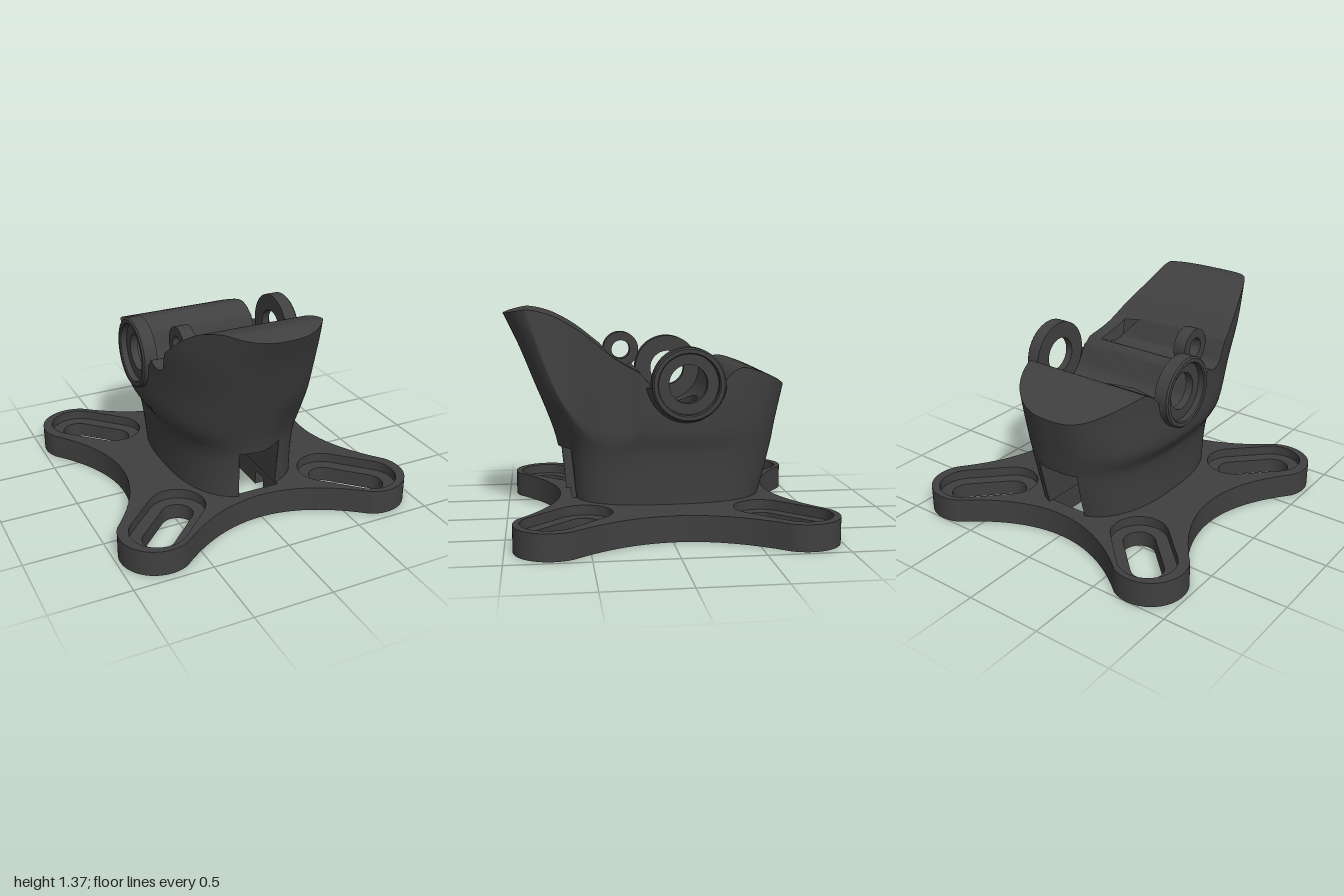
import * as THREE from 'three';
import { toCreasedNormals } from 'three/addons/utils/BufferGeometryUtils.js';

const N = 180, DOOR = 16, FLOOR = 0.16, LINTEL = 0.48;
// Smooth value from a table, column k
function lookUp(table, v, k) {
  let i = 0;
  const last = table.length - 1;
  while (i < last - 1 && v > table[i + 1][0]) i++;
  const slope = j => {
    const a = table[Math.max(j - 1, 0)], b = table[Math.min(j + 1, last)];
    return (b[k] - a[k]) / (b[0] - a[0]);
  };
  const a = table[i], b = table[i + 1], w = b[0] - a[0];
  const t = THREE.MathUtils.clamp((v - a[0]) / w, 0, 1), u = 1 - t;
  return a[k] * u * u * (1 + 2 * t) + b[k] * t * t * (3 - 2 * t) + w * t * u * (slope(i) * u - slope(i + 1) * t);
}

// Body plan by height: y, front z, back z, right x, left x
const levels = [
  [0.16, 0.63, -0.65, -0.40, 0.40], [0.35, 0.645, -0.70, -0.41, 0.405],
  [0.5, 0.667, -0.735, -0.435, 0.42], [0.63, 0.705, -0.76, -0.505, 0.45],
  [0.9, 0.81, -0.82, -0.52, 0.46], [1.15, 0.91, -0.88, -0.535, 0.45],
  [1.36, 1.01, -0.93, -0.51, 0.41],
];
// Height of the top along z
const ridge = [
  [-1, 0.76], [-0.81, 0.87], [-0.7, 0.94], [-0.55, 1.0], [-0.46, 1.015], [-0.4, 0.985], [-0.37, 0.955], [-0.34, 0.93],
  [0.11, 0.93], [0.145, 0.96], [0.16, 0.985], [0.31, 1.07], [0.5, 1.22], [0.6, 1.285], [0.7, 1.335], [0.84, 1.37],
  [0.92, 1.36], [1.0, 1.34], [1.2, 1.27],
];
// The left flank is trimmed in plan: z, largest x
const trim = [[0.05, 0.48], [0.15, 0.46], [0.22, 0.43], [0.3, 0.405], [0.41, 0.375],
  [0.51, 0.34], [0.6, 0.315], [0.7, 0.305], [0.8, 0.31], [1.1, 0.31]];

function topHeight(z, grooved) {
  const d = z + 0.115, g = z - 0.24;
  if (Math.abs(d) < 0.225) return 0.93 - Math.sqrt(0.050625 - d * d); // main saddle
  const h = lookUp(ridge, z, 1);
  return grooved && Math.abs(g) < 0.1 ? Math.min(h, 1.055 - Math.sqrt(0.01 - g * g)) : h; // small groove
}
// Point on the body wall: column i runs front to back, side is -1 or 1
function wallPoint(i, y, side) {
  const [f, b, l, r] = [1, 2, 3, 4].map(k => lookUp(levels, y, k));
  const t = Math.PI * i / N, c = Math.cos(t), s = Math.sin(t), p = 0.8;
  let z = (f + b) / 2 + (f - b) / 2 * Math.sign(c) * Math.pow(Math.abs(c), p);
  let x = (l + r) / 2 + side * (r - l) / 2 * Math.pow(Math.abs(s), p);
  if (side > 0 && z > 0.05) {
    x = Math.min(x, lookUp(trim, z, 1) - 0.08 * Math.max(0, y - 0.6));
    // the left front corner is set back near the floor
    z -= 0.06 * Math.min(1, s / 0.276) * c * c * (1 - THREE.MathUtils.smoothstep(y, 0.45, 0.9));
  }
  return [x, y, z];
}
// Height where each column meets the top, with and without the groove
const [groovedRim, plainRim] = [true, false].map(grooved => Array.from({ length: N + 1 }, (_, i) => {
  let lo = 0.3, hi = 1.5;
  for (let k = 0; k < 30; k++) {
    const m = (lo + hi) / 2;
    if (m < topHeight(wallPoint(i, m, -1)[2], grooved)) lo = m; else hi = m;
  }
  return lo;
}));

// Surface through rows of points
function grid(rows) {
  const n = rows[0].length, index = [];
  for (let i = 0; i < rows.length - 1; i++) {
    for (let j = 0; j < n - 1; j++) {
      const a = i * n + j, b = a + n;
      index.push(a, b, a + 1, b, b + 1, a + 1);
    }
  }
  const g = new THREE.BufferGeometry();
  g.setAttribute('position', new THREE.Float32BufferAttribute(rows.flat(2), 3));
  g.setIndex(index);
  g.computeVertexNormals();
  return g;
}
// Wall column from the lintel to the rim, or from the floor when full
function column(i, side, full) {
  const top = (side > 0 ? plainRim : groovedRim)[i], heights = [];
  if (full) for (let k = 0; k < 6; k++) heights.push(FLOOR + (LINTEL - FLOOR) * k / 6);
  for (let k = 0; k <= 16; k++) heights.push(LINTEL + (top - LINTEL) * k / 16);
  return heights.map(y => wallPoint(i, y, side));
}
const range = (a, b) => Array.from({ length: Math.abs(b - a) + 1 }, (_, k) => a + k * Math.sign(b - a));

// Closed slot outline
function slotPath(cx, cz, angle, half, r) {
  const p = new THREE.Path(), dx = Math.cos(angle) * half, dz = Math.sin(angle) * half;
  p.absarc(cx + dx, cz + dz, r, angle - Math.PI / 2, angle + Math.PI / 2);
  p.absarc(cx - dx, cz - dz, r, angle + Math.PI / 2, angle + Math.PI * 1.5);
  p.closePath();
  return p;
}
// One layer of the four-armed plate
function plateLayer(y0, y1, slotR, opening) {
  const s = new THREE.Shape(), cz = -0.025, reach = 0.41, q = Math.PI / 2, sweep = 1.309;
  const lobe = a => [0.745 * Math.sign(Math.cos(a)), cz + 0.745 * Math.sign(Math.sin(a))];
  for (let k = 0; k < 4; k++) {
    const a = q * k + q / 2, n = q * (k + 1), m = n + q / 2 - sweep;
    const [x, z] = lobe(a), [nx, nz] = lobe(a + q);
    s.absarc(x, z, 0.23, a - sweep, a + sweep);
    s.quadraticCurveTo(reach * Math.cos(n), cz + reach * Math.sin(n),
      nx + 0.23 * Math.cos(m), nz + 0.23 * Math.sin(m));
    s.holes.push(slotPath(Math.sign(x) * 0.63, cz + Math.sign(z - cz) * 0.655, a, 0.145, slotR));
  }
  const right = opening.map(([z, w]) => new THREE.Vector2(w, z));
  const left = opening.map(([z, w]) => new THREE.Vector2(-w, z)).reverse();
  s.holes.push(new THREE.Path([...right, ...left]));
  const g = new THREE.ExtrudeGeometry(s, { depth: y1 - y0, bevelEnabled: false, curveSegments: 24 });
  g.rotateX(Math.PI / 2).translate(0, y1, 0);
  return toCreasedNormals(g, 0.5);
}
// Ring turned about the x axis
function ring(profile) {
  const g = new THREE.LatheGeometry(profile.map(p => new THREE.Vector2(...p)), 64);
  return toCreasedNormals(g.rotateZ(-Math.PI / 2), 0.5);
}

export function createModel() {
  const model = new THREE.Group();
  const grey = new THREE.MeshStandardMaterial({ color: 0x404040, side: THREE.DoubleSide });
  grey.name = 'dark grey';
  const add = (name, geometry, parent = model) => {
    const m = new THREE.Mesh(geometry, grey);
    m.name = name;
    parent.add(m);
    return m;
  };

  // Base plate: strap slots below, slot recesses above
  add('basePlateLower', plateLayer(0, 0.1, 0.1, [
    [-0.6, 0.15], [-0.31, 0.15], [-0.31, 0.35], [-0.2, 0.35], [-0.2, 0.2], [0.02, 0.2],
    [0.02, 0.15], [0.28, 0.15], [0.28, 0.37], [0.39, 0.37], [0.39, 0.15], [0.58, 0.15]]));
  add('basePlateUpper', plateLayer(0.1, 0.163, 0.178, [
    [-0.6, 0.15], [-0.27, 0.15], [-0.27, 0.2], [0.02, 0.2], [0.02, 0.15], [0.58, 0.15]]));

  // Body walls, leaving a doorway at front and back
  const body = new THREE.Group();
  body.name = 'body';
  model.add(body);
  for (const side of [-1, 1]) {
    add('sideWall', grid(range(DOOR, N - DOOR).map(i => column(i, side, true))), body);
  }
  for (const [name, centre, edge, innerZ] of [['front', 0, DOOR, 0.02], ['back', N, N - DOOR, -0.27]]) {
    const path = [...range(edge, centre).map(i => [i, -1]), ...range(centre, edge).slice(1).map(i => [i, 1])];
    add(name + 'Wall', grid(path.map(([i, s]) => column(i, s, false))), body);
    // Passage from the doorway to the centre
    const outer = [wallPoint(edge, FLOOR, -1), ...path.map(([i, s]) => wallPoint(i, LINTEL, s)), wallPoint(edge, FLOOR, 1)];
    const passage = grid([outer, outer.map(([x, y]) => [x, y, innerZ])]);
    add(name + 'Passage', toCreasedNormals(passage, 0.6), body);
  }

  // Top surface: rounded opening in the saddle, groove stopping short of the left flank
  const rightTop = [], leftTop = [], leftEdge = [], grooveEnd = [];
  for (let i = 0; i <= N; i++) {
    const a = wallPoint(i, groovedRim[i], -1), b = wallPoint(i, plainRim[i], 1);
    const [, y, z] = a, d = Math.abs(z + 0.125);
    const half = d < 0.145 ? 0.2 + Math.sqrt(0.021025 - d * d) : 0;
    const inA = half ? -half : -0.04, inB = half || -0.04;
    const inGroove = Math.abs(b[2] - 0.24) < 0.1;
    const stop = inGroove ? 0.33 - (b[2] - 0.15) * 0.37 : (b[0] + inB) / 2;
    rightTop.push([a, [(a[0] + inA) / 2, y, z], [inA, y, z]]);
    leftTop.push([[inB, y, z], [stop, y, z]]);
    leftEdge.push([[stop, b[1], b[2]], b]);
    if (inGroove) grooveEnd.push([[stop, y, z], [stop, b[1], b[2]]]);
  }
  add('rightTop', grid(rightTop), body);
  add('leftTop', grid(leftTop), body);
  add('leftTopEdge', grid(leftEdge), body);
  add('grooveEnd', grid(grooveEnd), body);

  // Shaft under the opening
  const outline = [];
  for (const s of [1, -1]) {
    for (const x of [-0.2, -0.155, -0.154, 0.154, 0.155, 0.2]) outline.push([s * x, -0.125 + s * 0.145]);
    for (let k = 1; k < 16; k++) {
      const a = Math.PI * k / 16;
      outline.push([s * (0.2 + 0.145 * Math.sin(a)), -0.125 + s * 0.145 * Math.cos(a)]);
    }
  }
  outline.push(outline[0]);
  const shaft = grid(outline.map(([x, z]) => [[x, Math.abs(x) < 0.155 ? LINTEL : FLOOR, z], [x, topHeight(z, false), z]]));
  add('shaft', toCreasedNormals(shaft, 0.6), body);

  // Large pivot rings with collars beneath
  const ringGeo = ring([[0.118, 0], [0.225, 0], [0.225, 0.085], [0.215, 0.095], [0.192, 0.095],
    [0.185, 0.088], [0.185, 0.05], [0.118, 0.05], [0.118, 0]]);
  const collarGeo = new THREE.CylinderGeometry(0.225, 0.262, 0.1, 32, 1, true, 0.1, Math.PI - 0.2).rotateZ(-Math.PI / 2);
  for (const s of [1, -1]) {
    const lug = new THREE.Group();
    lug.name = s > 0 ? 'leftPivot' : 'rightPivot';
    lug.position.set(s * 0.457, 0.93, -0.115);
    lug.rotation.y = s > 0 ? 0 : Math.PI;
    add('pivotRing', ringGeo, lug);
    add('pivotCollar', collarGeo, lug);
    model.add(lug);
  }

  // Small ring standing in the groove
  const eyelet = add('smallRing', ring([[0.062, 0], [0.12, 0], [0.12, 0.085], [0.062, 0.085], [0.062, 0]]));
  eyelet.position.set(-0.378, 1.075, 0.225);
  return model;
}
